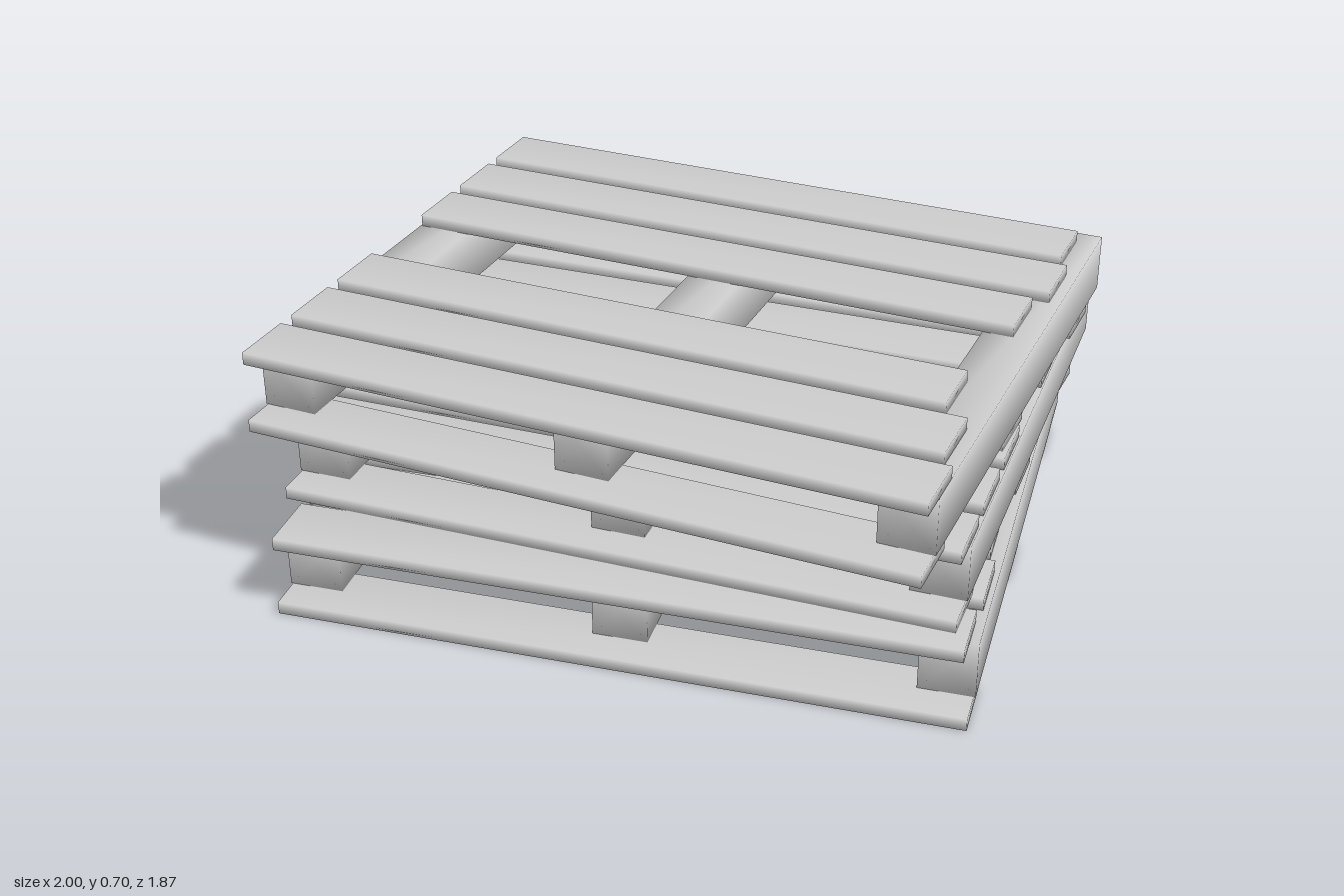
import * as THREE from 'three';
import { mergeVertices } from 'three/addons/utils/BufferGeometryUtils.js';

const BOARD_H = 0.035, BEAM_H = 0.163, PALLET_H = 0.2335;
const BOARD_W = 0.182, BOARD_LEFT = -0.93;
const material = new THREE.MeshStandardMaterial({ color: 0xcccccc });

// Share corner vertices so the shading runs smoothly over the edges
function soften(geometry) {
  geometry.deleteAttribute('normal');
  geometry.deleteAttribute('uv');
  const merged = mergeVertices(geometry);
  merged.computeVertexNormals();
  return merged;
}

function addMesh(parent, name, geometry, x, y, z) {
  const mesh = new THREE.Mesh(geometry, material);
  mesh.name = name;
  mesh.position.set(x, y, z);
  parent.add(mesh);
  return mesh;
}

// Plank running along x from the common left end to the given right end
function addBoard(parent, name, right, y, z) {
  const length = right - BOARD_LEFT;
  const geometry = soften(new THREE.BoxGeometry(length, BOARD_H, BOARD_W));
  return addMesh(parent, name, geometry, (right + BOARD_LEFT) / 2, y, z);
}

// Four-sided beam running along z
function beamGeometry() {
  const r = Math.SQRT1_2;
  const g = new THREE.CylinderGeometry(r, r, 1.56, 4, 1, false, Math.PI / 4);
  g.rotateX(Math.PI / 2);
  g.scale(0.15, BEAM_H, 1);
  return soften(g);
}

function createPallet({ topEnds, looseBoard }) {
  const pallet = new THREE.Group();
  pallet.name = 'pallet';

  // Three lower boards, the rear one sometimes swung loose
  for (let i = -1; i <= 1; i++) {
    const board = addBoard(pallet, 'bottomBoard', 0.93, BOARD_H / 2, 0.1 + i * 0.684);
    if (i === -1 && looseBoard) {
      board.rotation.y = -0.075;
      board.position.z += 0.065;
    }
  }

  // Three beams
  const beam = beamGeometry();
  for (const x of [-0.86, 0, 0.86]) {
    addMesh(pallet, 'beam', beam, x, BOARD_H + BEAM_H / 2, 0);
  }

  // Six upper boards in seven slots, the middle slot left empty
  [-3, -2, -1, 1, 2, 3].forEach((slot, i) => {
    addBoard(pallet, 'topBoard', topEnds[i], BOARD_H * 1.5 + BEAM_H, 0.075 + slot * 0.234);
  });
  return pallet;
}

export function createModel() {
  const stack = new THREE.Group();
  stack.name = 'palletStack';

  // Each pallet sits slightly turned and shifted on the one below
  const layers = [
    { x: 0, z: 0.003, turn: 0.047, topEnds: [0.92, 0.92, 0.9, 0.9, 0.92, 0.91] },
    { x: 0.002, z: -0.133, turn: -0.021, topEnds: [0.93, 0.93, 0.93, 0.93, 0.93, 0.93], looseBoard: true },
    { x: 0, z: -0.013, turn: -0.0825, topEnds: [0.875, 0.905, 0.87, 0.83, 0.9, 0.935] },
  ];
  layers.forEach((layer, i) => {
    const pallet = createPallet(layer);
    pallet.position.set(layer.x, i * PALLET_H, layer.z);
    pallet.rotation.y = layer.turn;
    stack.add(pallet);
  });
  return stack;
}
